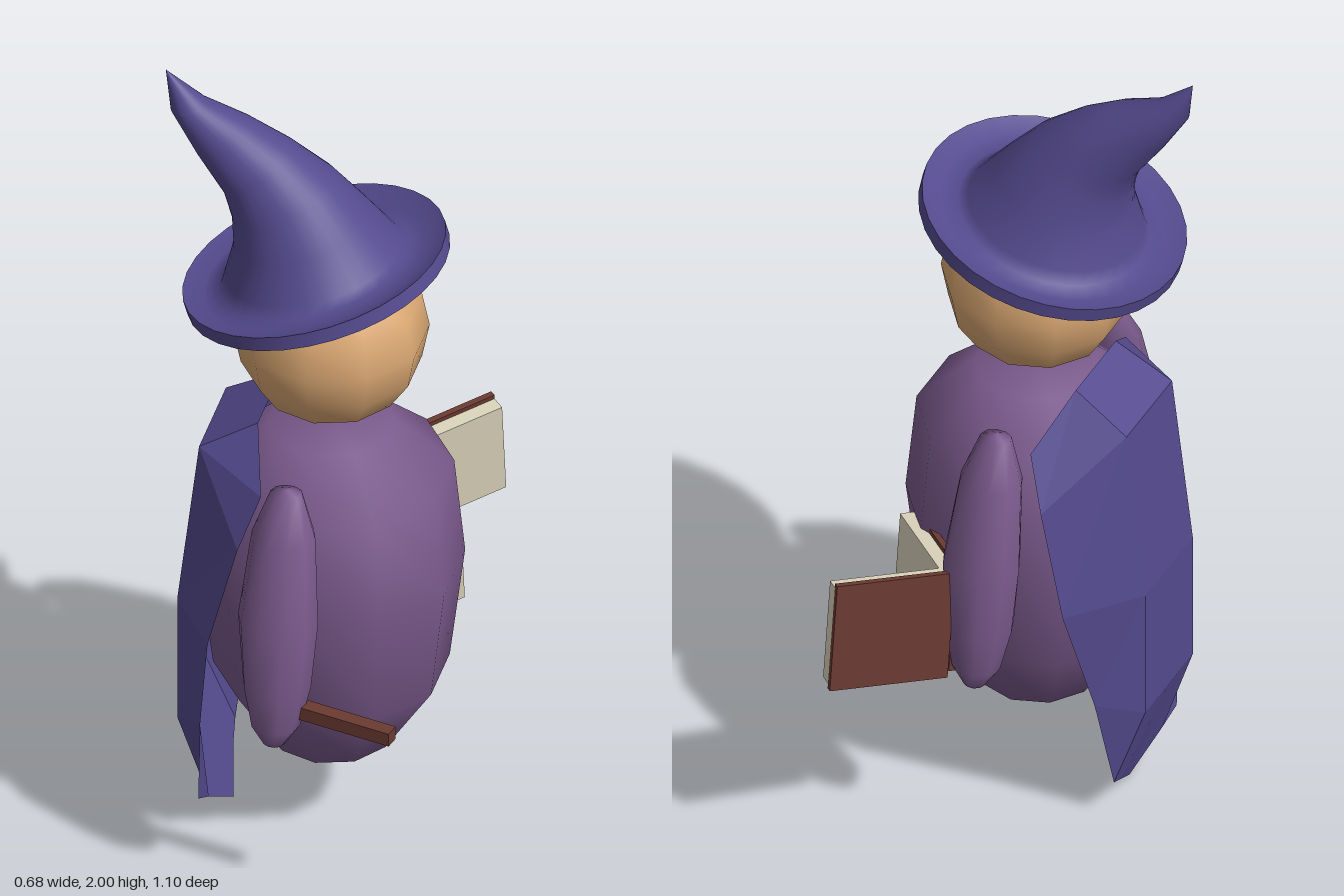
import * as THREE from 'three';

const paint = (name, color, side = THREE.FrontSide) => {
  const m = new THREE.MeshStandardMaterial({ color, side });
  m.name = name;
  return m;
};

// Surface through elliptical rings, each { c: centre, u: half axis, v: half axis }
function loft(rings, n) {
  const pos = [], idx = [];
  rings.forEach(({ c, u, v }, r) => {
    for (let i = 0; i < n; i++) {
      const a = (i / n) * Math.PI * 2, p = c.clone();
      p.addScaledVector(u, Math.cos(a)).addScaledVector(v, Math.sin(a));
      pos.push(p.x, p.y, p.z);
      if (r === rings.length - 1) continue;
      const j = (i + 1) % n, b = r * n, t = b + n;
      idx.push(b + i, t + i, b + j, b + j, t + i, t + j);
    }
  });
  const g = new THREE.BufferGeometry();
  g.setAttribute('position', new THREE.Float32BufferAttribute(pos, 3));
  g.setIndex(idx);
  g.computeVertexNormals();
  return g;
}

const V = (x, y, z) => new THREE.Vector3(x, y, z);
const MID = 0.095; // the figure's plane of symmetry in z

export function createModel() {
  const model = new THREE.Group();
  model.name = 'wizard';
  const indigo = paint('indigo cloth', 0x544a8e, THREE.DoubleSide);
  const plum = paint('plum robe', 0x7a5a8c);
  const skin = paint('skin', 0xdba873);
  const brown = paint('brown', 0x6b3a32);
  const paper = paint('paper', 0xdcd4bc);
  const add = (name, geo, mat, parent = model) => {
    const m = new THREE.Mesh(geo, mat);
    m.name = name;
    parent.add(m);
    return m;
  };

  // Robe: ten-sided egg with a flat top
  const profile = [[0, 0.165], [0.145, 0.235], [0.27, 0.43], [0.305, 0.72], [0.28, 0.97], [0.145, 1.092], [0, 1.095]];
  add('robe', new THREE.LatheGeometry(profile.map(([r, y]) => new THREE.Vector2(r, y)), 10), plum)
    .position.set(0.045, 0, MID);

  // Head
  const head = add('head', new THREE.SphereGeometry(0.224, 10, 8), skin);
  head.position.set(0.045, 1.35, MID);
  head.rotation.y = Math.PI / 10;

  // Sleeves: [y, distance from the middle, half depth, half width]
  const sleeve = [
    [0.46, 0.4, 0, 0], [0.462, 0.4, 0.022, 0.025], [0.51, 0.387, 0.055, 0.058], [0.61, 0.372, 0.077, 0.08],
    [0.78, 0.362, 0.075, 0.094], [0.98, 0.312, 0.066, 0.075], [1.08, 0.287, 0.032, 0.038], [1.092, 0.285, 0, 0],
  ];
  for (const s of [1, -1]) {
    const rings = sleeve.map(([y, d, rz, rx]) => ({ c: V(0.015, y, MID + s * d), u: V(rx, 0, 0), v: V(0, 0, rz) }));
    add(s > 0 ? 'wandSleeve' : 'bookSleeve', loft(rings, 10), plum);
  }

  // Hat brim: tilted dish, [radius, height along the tilted axis]
  const tilt = 0.28;
  const axis = V(-Math.sin(tilt), Math.cos(tilt), 0), across = V(Math.cos(tilt), Math.sin(tilt), 0);
  const brim = [[0, 0.03], [0.2, 0.02], [0.312, 0], [0.312, 0], [0.312, 0.036], [0.312, 0.036], [0.265, 0.018], [0.225, 0.025]];
  const hat = brim.map(([r, h]) => ({
    c: V(0.014, 1.495, MID).addScaledVector(axis, h),
    u: across.clone().multiplyScalar(r), v: V(0, 0, r),
  }));
  // Bent crown: [back x, back y, front x, front y, half depth]
  const crown = [
    [-0.2, 1.49, 0.2, 1.59, 0.205], [-0.18, 1.575, 0.13, 1.67, 0.165], [-0.185, 1.65, 0.05, 1.755, 0.13],
    [-0.205, 1.71, -0.05, 1.83, 0.1], [-0.27, 1.8, -0.15, 1.885, 0.073],
    [-0.332, 1.9, -0.25, 1.925, 0.042], [-0.345, 2, -0.345, 2, 0],
  ];
  for (const [x0, y0, x1, y1, r] of crown) {
    hat.push({ c: V((x0 + x1) / 2, (y0 + y1) / 2, MID), u: V((x1 - x0) / 2, (y1 - y0) / 2, 0), v: V(0, 0, r) });
  }
  add('hat', loft(hat, 32), indigo);

  // Cape rows: centre, fold and edge as [x, y, distance from the middle]
  const cape = [
    [[-0.1, 1.13, 0], [-0.1, 1.13, 0.105], [-0.055, 1.03, 0.25]],
    [[-0.235, 1.05, 0], [-0.235, 1.05, 0.12], [-0.1, 0.9, 0.29]],
    [[-0.285, 0.62, 0], [-0.285, 0.62, 0.125], [-0.165, 0.64, 0.31]],
    [[-0.285, 0.29, 0], [-0.285, 0.29, 0.125], [-0.205, 0.35, 0.225]],
    [[-0.185, 0, 0], [-0.215, 0.07, 0.11], [-0.225, 0.1, 0.165]],
  ];
  const pos = [], idx = [];
  cape.forEach(([mid, fold, edge], r) => {
    [[edge, -1], [fold, -1], [mid, 1], [fold, 1], [edge, 1]].forEach(([[x, y, d], s], i) => {
      pos.push(x, y, MID + s * d);
      const a = r * 5 + i, b = a + 5;
      if (r < 4 && i < 4) idx.push(a, b, a + 1, a + 1, b, b + 1);
    });
  });
  const cloth = new THREE.BufferGeometry();
  cloth.setAttribute('position', new THREE.Float32BufferAttribute(pos, 3));
  cloth.setIndex(idx);
  const flatCloth = cloth.toNonIndexed();
  flatCloth.computeVertexNormals();
  add('cape', flatCloth, indigo);

  // Wand
  const wand = add('wand', new THREE.BoxGeometry(0.29, 0.034, 0.035), brown);
  wand.position.set(0.16, 0.55, 0.493);
  wand.rotation.y = -0.22;

  // Open book: two hinged halves
  const book = new THREE.Group();
  book.name = 'book';
  book.position.set(0.075, 0.627, -0.315);
  book.rotation.x = 0.147;
  for (const s of [1, -1]) {
    const half = new THREE.Group();
    half.name = s > 0 ? 'backHalf' : 'frontHalf';
    half.rotation.y = s * Math.PI / 4;
    add('cover', new THREE.BoxGeometry(0.285, 0.272, 0.015), brown, half).position.set(0.145, 0, -s * 0.018);
    add('pages', new THREE.BoxGeometry(0.28, 0.25, 0.034), paper, half).position.set(0.147, 0, s * 0.0065);
    book.add(half);
  }
  model.add(book);
  return model;
}
